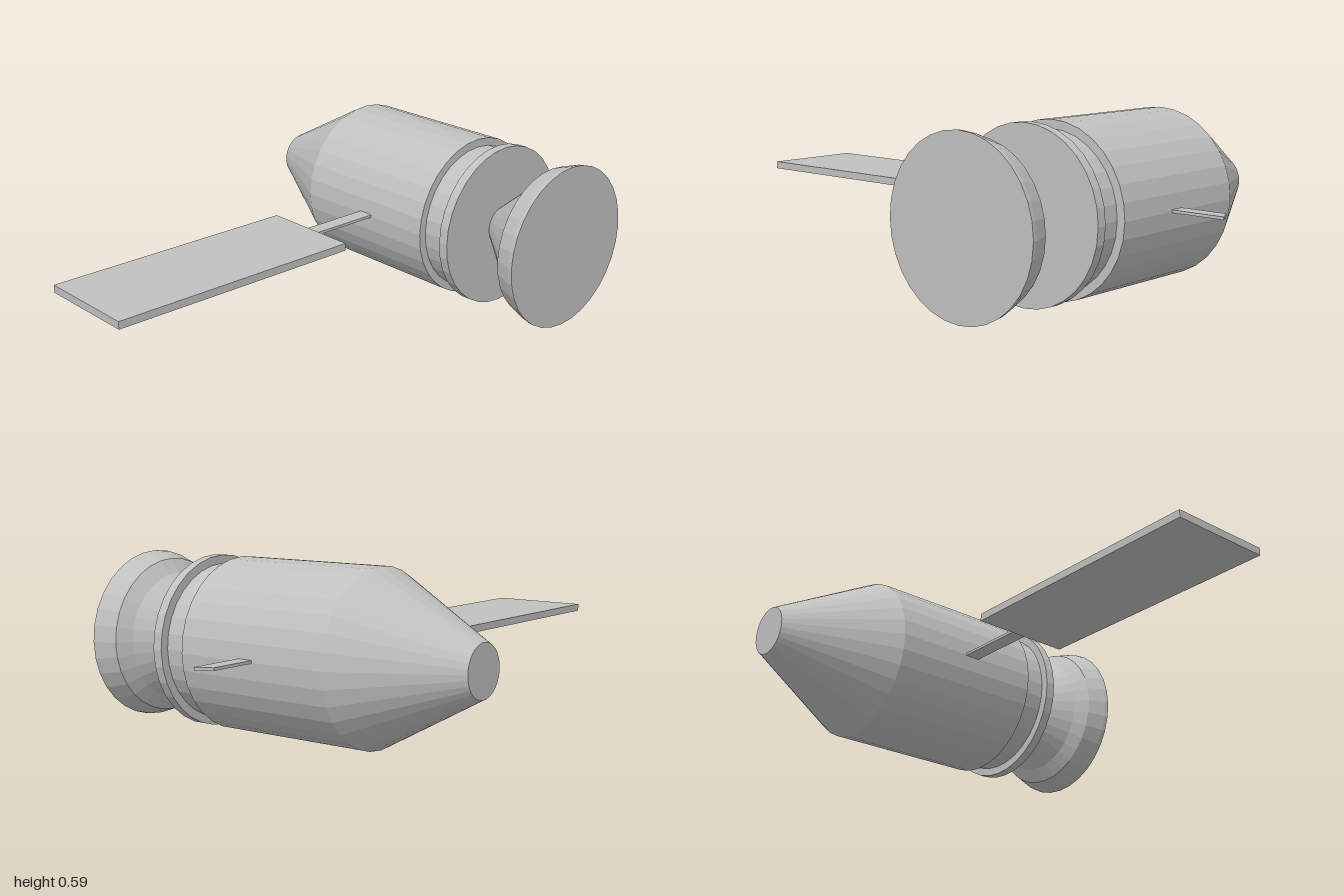
import * as THREE from 'three';

const AXIS_X = 0.512, AXIS_Y = 0.296;

export function createModel() {
  const model = new THREE.Group();
  model.name = 'spacecraft';
  const grey = new THREE.MeshStandardMaterial({ color: 0xc0c0c0, flatShading: true });
  grey.name = 'hull grey';

  const add = (name, geometry, x, y, z) => {
    const mesh = new THREE.Mesh(geometry, grey);
    mesh.name = name;
    mesh.position.set(x, y, z);
    model.add(mesh);
    return mesh;
  };

  // Turned part around the long axis; profile is [z, radius] from back to front
  const turned = (name, profile) => {
    const points = profile.map(([z, r]) => new THREE.Vector2(r, z));
    const geometry = new THREE.LatheGeometry(points, 32).rotateX(Math.PI / 2);
    return add(name, geometry, AXIS_X, AXIS_Y, 0);
  };

  // Hull: nose cone, cylinder, recessed neck and rear ring
  turned('hull', [
    [-0.698, 0], [-0.698, 0.088], [-0.313, 0.295], [0.273, 0.295], [0.273, 0.266],
    [0.368, 0.266], [0.368, 0.295], [0.404, 0.295], [0.404, 0],
  ]);

  // Flared engine bell with a closed end
  turned('engineBell', [
    [0.4, 0], [0.4, 0.069], [0.583, 0.222], [0.615, 0.27], [0.682, 0.293],
    [0.698, 0.295], [0.698, 0],
  ]);

  // Solar panel and the flat arm that carries it
  add('solarPanel', new THREE.BoxGeometry(0.942, 0.027, 0.37), -0.529, 0.298, -0.004);
  add('panelArm', new THREE.BoxGeometry(0.36, 0.01, 0.057), 0.11, 0.298, -0.004);

  // Broken-off arm on the other side, with a slanted end
  const stub = new THREE.Shape([
    new THREE.Vector2(0.75, -0.025), new THREE.Vector2(1, -0.025),
    new THREE.Vector2(0.973, 0.032), new THREE.Vector2(0.75, 0.032),
  ]);
  const stubGeometry = new THREE.ExtrudeGeometry(stub, { depth: 0.01, bevelEnabled: false });
  add('brokenArm', stubGeometry.rotateX(-Math.PI / 2), 0, 0.293, 0);

  return model;
}
